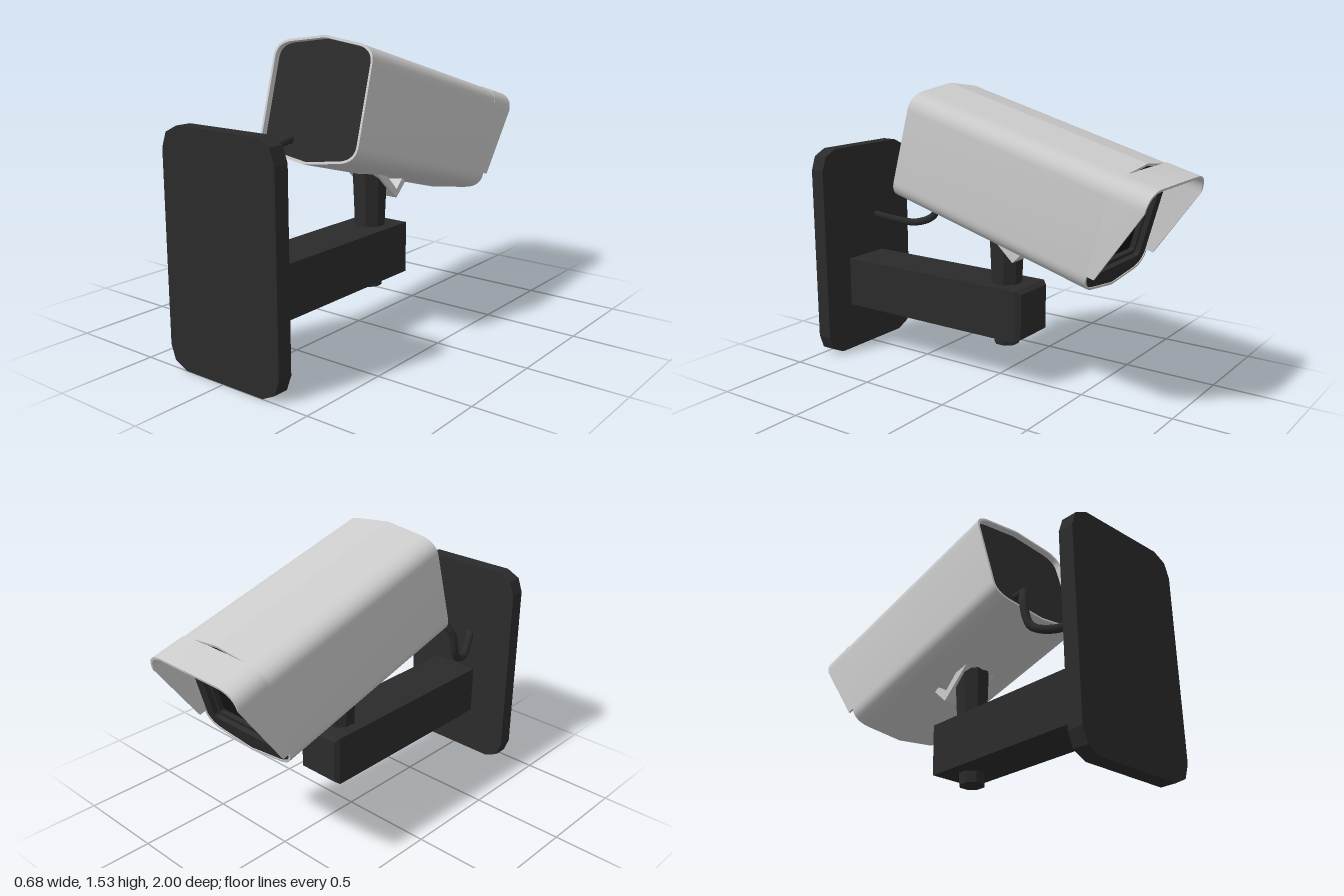
import * as THREE from 'three';
import { toCreasedNormals } from 'three/addons/utils/BufferGeometryUtils.js';

const grey = new THREE.MeshStandardMaterial({ color: 0xcccccc });
const dark = new THREE.MeshStandardMaterial({ color: 0x2b2b2b });
const black = new THREE.MeshStandardMaterial({ color: 0x141414 });

const W = 0.305, H = 0.622; // half width and full height of the housing
const WALL = 0.012, LENGTH = 1.17;

function add(parent, name, geometry, material) {
  const mesh = new THREE.Mesh(geometry, material);
  mesh.name = name;
  parent.add(mesh);
  return mesh;
}

// Rounded section with a shallow ridge above and below, drawn counter-clockwise
function section(inset, Type = THREE.Shape) {
  const i = inset, s = new Type();
  const w = W - i, b = i, t = H - i;
  s.moveTo(0, b);
  s.lineTo(0.2, b + 0.027);
  s.quadraticCurveTo(w, b + 0.04, w, 0.122);
  s.lineTo(w, 0.5);
  s.quadraticCurveTo(w, t - 0.04, 0.2, t - 0.027);
  s.lineTo(0, t);
  s.lineTo(-0.2, t - 0.027);
  s.quadraticCurveTo(-w, t - 0.04, -w, 0.5);
  s.lineTo(-w, 0.122);
  s.quadraticCurveTo(-w, b + 0.04, -0.2, b + 0.027);
  s.lineTo(0, b);
  return s;
}

// Closed outline with clipped corners, one intermediate point per corner
function clippedRect(w, y0, y1, Type = THREE.Shape, cx = 0.1, cy = 0.11) {
  const quarter = [[w - cx, 0], [w - cx * 0.27, cy * 0.32], [w, cy]];
  const right = [
    ...quarter.map(([x, d]) => [x, y0 + d]),
    ...quarter.slice().reverse().map(([x, d]) => [x, y1 - d]),
  ];
  const left = right.slice().reverse().map(([x, y]) => [-x, y]);
  return new Type([...right, ...left].map(([x, y]) => new THREE.Vector2(x, y)));
}

function extrude(shape, from, to, crease = 0.22) {
  const g = new THREE.ExtrudeGeometry(shape, { depth: to - from, bevelEnabled: false, curveSegments: 10 });
  g.translate(0, 0, from);
  return toCreasedNormals(g, crease);
}

// Sun hood: open strip over top and sides, front edge raked back towards the bottom
function hoodGeometry() {
  const top = 0.598, low = 0.12;
  const s = new THREE.Shape();
  s.moveTo(W, low);
  s.lineTo(W, 0.5);
  s.quadraticCurveTo(W, top - 0.008, 0.2, top);
  s.lineTo(-0.2, top);
  s.quadraticCurveTo(-W, top - 0.008, -W, 0.5);
  s.lineTo(-W, low);
  s.lineTo(-W + WALL, low);
  s.lineTo(-W + WALL, 0.5);
  s.quadraticCurveTo(-W + WALL, top - WALL - 0.008, -0.2, top - WALL);
  s.lineTo(0.2, top - WALL);
  s.quadraticCurveTo(W - WALL, top - WALL - 0.008, W - WALL, 0.5);
  s.lineTo(W - WALL, low);
  const g = new THREE.ExtrudeGeometry(s, { depth: 1, bevelEnabled: false, curveSegments: 10 });
  const p = g.attributes.position;
  for (let i = 0; i < p.count; i++) {
    const k = THREE.MathUtils.clamp((p.getY(i) - low) / (0.5 - low), 0, 1);
    p.setZ(i, p.getZ(i) > 0.5 ? 1.208 + 0.14 * k : LENGTH - 0.002);
  }
  return toCreasedNormals(g, 0.22);
}

function createHousing() {
  const housing = new THREE.Group();
  housing.name = 'cameraHousing';

  const shell = section(0);
  shell.holes.push(section(WALL, THREE.Path));
  add(housing, 'housingShell', extrude(shell, 0, LENGTH), grey);
  add(housing, 'sunHood', hoodGeometry(), grey);
  add(housing, 'housingCore', extrude(section(WALL), 0.03, 1.08), dark);

  // Stepped front frame around the window
  const frame = section(WALL);
  frame.holes.push(clippedRect(0.235, 0.1, 0.52, THREE.Path, 0.02, 0.02));
  add(housing, 'frontFrame', extrude(frame, 1.08, LENGTH - 0.004), dark);
  const step = clippedRect(0.235, 0.1, 0.52, THREE.Shape, 0.02, 0.02);
  step.holes.push(clippedRect(0.215, 0.12, 0.5, THREE.Path, 0.01, 0.01));
  add(housing, 'windowRim', extrude(step, 1.08, 1.14), dark);
  const glass = add(housing, 'window', new THREE.BoxGeometry(0.44, 0.39, 0.03), black);
  glass.position.set(0, 0.31, 1.1);

  // Tilted so the window end looks down and away from the wall plate
  housing.rotation.set(-0.271, Math.PI, 0);
  housing.position.set(0.025, 0.93, 0.46);
  return housing;
}

function createMount() {
  const mount = new THREE.Group();
  mount.name = 'mount';

  add(mount, 'wallPlate', extrude(clippedRect(0.342, 0, 1.16), 0.92, 1), dark);

  // Arm with a chamfered free end
  const arm = add(mount, 'arm', new THREE.BoxGeometry(0.27, 0.27, 1.13), dark);
  arm.position.set(0.025, 0.395, 0.365);
  const endGeometry = new THREE.CylinderGeometry(0.165, 0.27 / Math.SQRT2, 0.025, 4, 1, false, Math.PI / 4);
  endGeometry.rotateX(-Math.PI / 2);
  const end = add(mount, 'armEnd', toCreasedNormals(endGeometry, 0.2), dark);
  end.position.set(0.025, 0.395, -0.2125);

  // Tapered octagonal post passing through the arm
  const postGeometry = new THREE.CylinderGeometry(0.094, 0.066, 0.65, 8, 1, false, Math.PI / 8);
  const post = add(mount, 'post', toCreasedNormals(postGeometry, 0.3), dark);
  post.position.set(0.025, 0.525, -0.06);

  // Angled bracket joining post and housing
  const bracketShape = new THREE.Shape([
    [0.02, 0.83], [-0.16, 0.665], [-0.24, 0.74], [-0.215, 0.765], [-0.162, 0.71], [-0.03, 0.84],
  ].map(([z, y]) => new THREE.Vector2(-z, y)));
  const bracketGeometry = extrude(bracketShape, -0.1, 0.1);
  bracketGeometry.rotateY(Math.PI / 2);
  const bracket = add(mount, 'bracket', bracketGeometry, grey);
  bracket.position.x = 0.025;
  return mount;
}

function createCable() {
  const points = [
    [-0.06, 0.75, 0.94], [-0.12, 0.72, 0.83], [-0.18, 0.705, 0.71], [-0.21, 0.755, 0.605],
    [-0.21, 0.9, 0.56], [-0.15, 0.995, 0.505], [-0.11, 1.025, 0.43], [-0.105, 1.03, 0.36],
  ].map((p) => new THREE.Vector3(...p));
  return new THREE.TubeGeometry(new THREE.CatmullRomCurve3(points), 48, 0.021, 10);
}

export function createModel() {
  const model = new THREE.Group();
  model.name = 'securityCamera';
  model.add(createHousing(), createMount());
  add(model, 'cable', createCable(), dark);
  return model;
}
